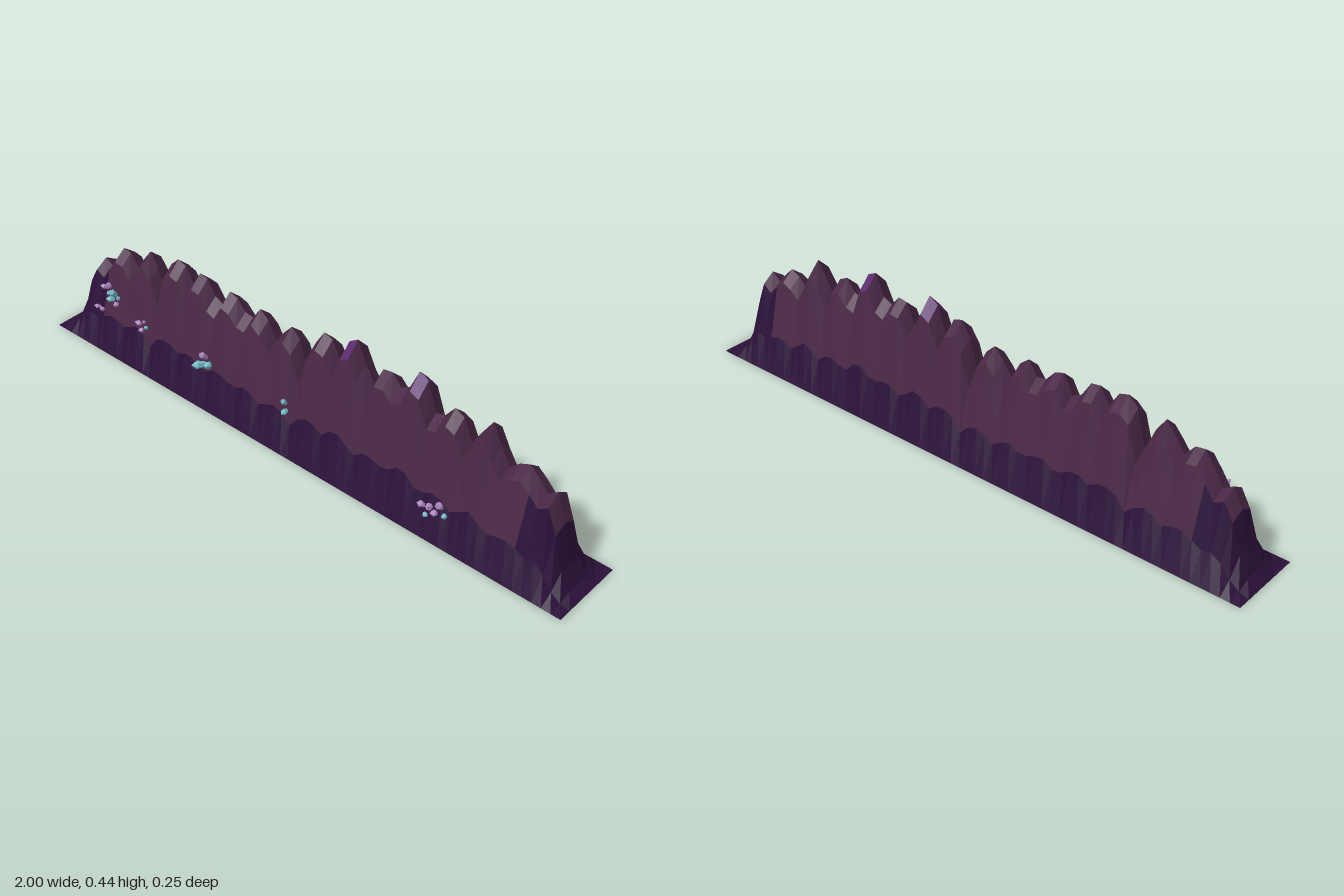
import * as THREE from 'three';

const mat = (name, color) => {
  const m = new THREE.MeshStandardMaterial({ color });
  m.name = name;
  return m;
};

// Ridge heights in hundredths, evenly spaced from x = -1 to x = 1
const RIDGE = [
  0, 3, 10, 20, 26, 24, 29, 33.5, 33, 29, 33.5, 37.5, 33, 25, 37, 40, 39, 34, 39, 38.5, 33.5, 32,
  38, 37, 33.5, 33, 37.5, 35, 29, 33.5, 37, 34, 25, 36, 41, 40, 34, 42.5, 44.5, 37.5, 32.5, 39,
  39.5, 36, 37.5, 44.5, 43, 33.5, 34.5, 38.5, 37, 30, 35.5, 40.5, 34, 28.5, 31.5, 33, 30, 26.5,
  29, 20, 8, 2, 0,
];

// Cross-section from back to front: [z, share of the ridge height]
const SECTION = [
  [-0.125, 0], [-0.083, 0.35], [-0.042, 0.9], [0, 1], [0.042, 0.9], [0.083, 0.35], [0.125, 0],
];

// Clusters along the front wall: [x, y, z, size, count, first colour]
const CLUSTERS = [
  [-0.83, 0.12, 0.07, 0.03, 2, 1], [-0.8, 0.2, 0.055, 0.035, 3, 1],
  [-0.76, 0.18, 0.06, 0.042, 4, 0], [-0.63, 0.14, 0.065, 0.035, 4, 1],
  [-0.345, 0.145, 0.075, 0.05, 3, 0], [-0.02, 0.14, 0.07, 0.035, 2, 0],
  [0.38, 0.08, 0.065, 0.035, 3, 1], [0.525, 0.08, 0.085, 0.042, 3, 1],
  [0.57, 0.09, 0.08, 0.042, 3, 1],
];

export function createModel() {
  const group = new THREE.Group();
  const darkRock = mat('dark rock', 0x2a1038);
  const rock = mat('plum rock', 0x4a2846);
  const peak = mat('violet peak', 0x5c2a70);
  const teal = mat('teal crystal', 0x78c0cc);
  const lilac = mat('lilac crystal', 0xb48cc8);
  for (const m of [darkRock, rock, peak]) {
    m.side = THREE.DoubleSide;
    m.flatShading = true;
  }
  teal.flatShading = lilac.flatShading = true;

  // Mountain shell, open below, its faces sorted into height bands
  const bands = [
    { name: 'lowerSlopes', material: darkRock, pos: [] },
    { name: 'upperSlopes', material: rock, pos: [] },
    { name: 'peaks', material: peak, pos: [] },
  ];
  const n = RIDGE.length - 1;
  const point = (i, j) =>
    [-1 + (2 * i) / n, (RIDGE[i] / 100) * SECTION[j][1], SECTION[j][0]];
  for (let i = 0; i < n; i++) {
    for (let j = 0; j < SECTION.length - 1; j++) {
      const a = point(i, j), b = point(i, j + 1), c = point(i + 1, j + 1), d = point(i + 1, j);
      const mid = (a[1] + b[1] + c[1] + d[1]) / 4;
      const band = bands[mid < 0.18 ? 0 : mid < 0.4 ? 1 : 2];
      band.pos.push(...a, ...b, ...c, ...a, ...c, ...d);
    }
  }
  for (const { name, material, pos } of bands) {
    const geo = new THREE.BufferGeometry();
    geo.setAttribute('position', new THREE.Float32BufferAttribute(pos, 3));
    geo.computeVertexNormals();
    const mesh = new THREE.Mesh(geo, material);
    mesh.name = name;
    group.add(mesh);
  }

  // Crystal: narrow foot, wide shoulder, pointed tip
  const profile = [[0, 0], [0.18, 0], [0.27, 0.65], [0, 1]].map(p => new THREE.Vector2(...p));
  const crystalGeo = new THREE.LatheGeometry(profile, 6);
  const up = new THREE.Vector3(0, 1, 0);
  CLUSTERS.forEach(([x, y, z, size, count, first], k) => {
    const cluster = new THREE.Group();
    cluster.name = 'crystalCluster';
    cluster.position.set(x, y, z);
    for (let i = 0; i < count; i++) {
      const angle = (i / count) * Math.PI * 2 + k;
      const isLilac = (first + (i === 2 ? 1 : 0)) % 2 === 1;
      const crystal = new THREE.Mesh(crystalGeo, isLilac ? lilac : teal);
      crystal.name = 'crystal';
      const dir = new THREE.Vector3(Math.cos(angle) * 0.5, 0.5 + Math.sin(angle) * 0.4, 0.85);
      crystal.quaternion.setFromUnitVectors(up, dir.normalize());
      crystal.position.set(Math.cos(angle) * size * 0.2, Math.sin(angle) * size * 0.3, 0);
      crystal.scale.setScalar(size * (1 - 0.12 * i));
      cluster.add(crystal);
    }
    group.add(cluster);
  });

  return group;
}
